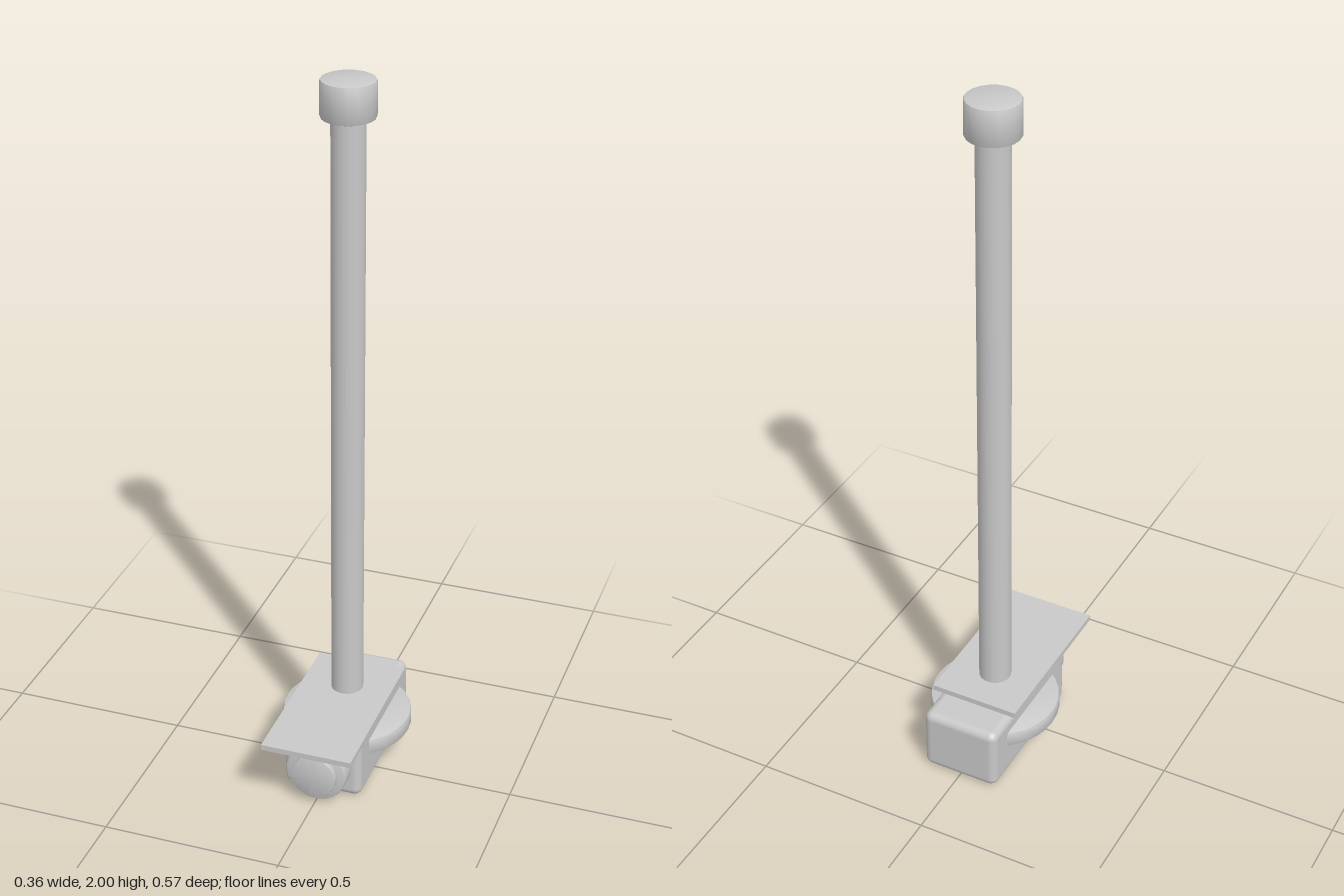
import * as THREE from 'three';
import { toCreasedNormals } from 'three/addons/utils/BufferGeometryUtils.js';
import { RoundedBoxGeometry } from 'three/addons/geometries/RoundedBoxGeometry.js';

const POLE_Z = -0.065;

// Solid disc or cylinder from y0 to y1 with a bevelled rim at both ends
function bevelled(radius, y0, y1, bevel, segments) {
  const points = [
    [0, y0], [radius - bevel, y0], [radius - bevel * 0.3, y0 + bevel * 0.3], [radius, y0 + bevel],
    [radius, y1 - bevel], [radius - bevel * 0.3, y1 - bevel * 0.3], [radius - bevel, y1], [0, y1],
  ].map(([x, y]) => new THREE.Vector2(x, y));
  return toCreasedNormals(new THREE.LatheGeometry(points, segments), 0.6);
}

export function createModel() {
  const model = new THREE.Group();
  model.name = 'poleMountedCamera';
  const grey = new THREE.MeshStandardMaterial({ color: 0xc8c8c8 });
  grey.name = 'light grey';

  const add = (name, geometry, x, y, z) => {
    const mesh = new THREE.Mesh(geometry, grey);
    mesh.name = name;
    mesh.position.set(x, y, z);
    model.add(mesh);
    return mesh;
  };

  // Camera housing with rounded edges
  add('housing', new RoundedBoxGeometry(0.224, 0.188, 0.436, 4, 0.023), 0, 0.098, -0.065);

  // Round side flange passing through the housing
  add('sideFlange', bevelled(0.182, 0.1, 0.148, 0.008, 32), 0, 0, POLE_Z);

  // Lens barrel and raised front glass, pointing forward
  add('lensBarrel', bevelled(0.086, 0.1, 0.206, 0.007, 32), 0, 0.098, 0).rotation.x = Math.PI / 2;
  add('lensFront', bevelled(0.063, 0.2, 0.223, 0.003, 32), 0, 0.098, 0).rotation.x = Math.PI / 2;

  // Sun shield above the housing
  add('sunShield', new THREE.BoxGeometry(0.256, 0.016, 0.476), 0, 0.209, 0.045);

  // Hanging pole and its end cap
  add('pole', new THREE.CylinderGeometry(0.045, 0.045, 1.76, 24), 0, 1.05, POLE_Z);
  add('endCap', bevelled(0.072, 1.9, 2.0, 0.006, 20), 0, 0, POLE_Z);

  return model;
}
